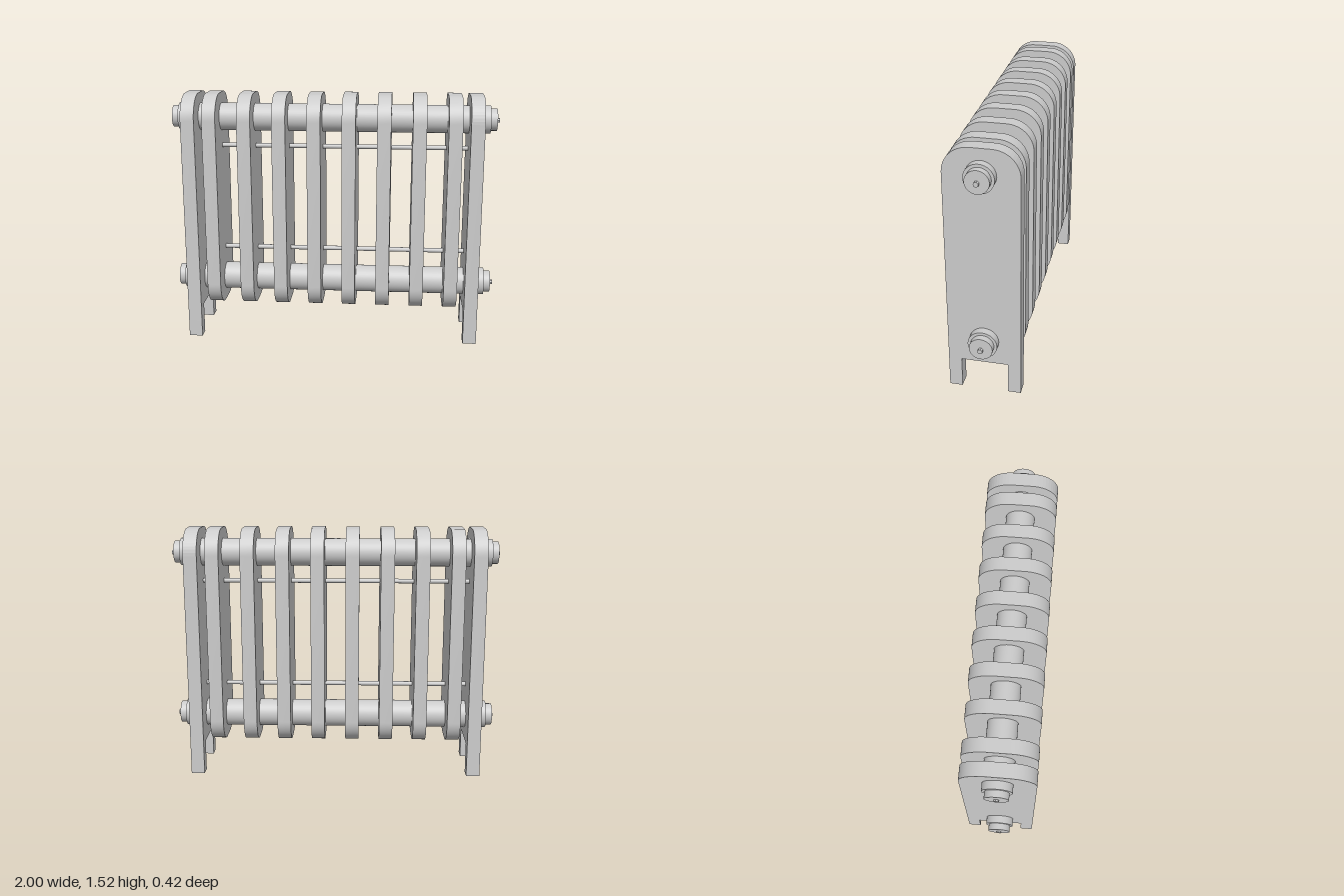
import * as THREE from 'three';
import { toCreasedNormals } from 'three/addons/utils/BufferGeometryUtils.js';

const TOP = 1.52, BOTTOM = 0.195, HALF = 0.21, R = 0.15, THICK = 0.082, MID = -0.004;

export function createModel() {
  const model = new THREE.Group();
  model.name = 'radiator';
  const smooth = new THREE.MeshStandardMaterial({ color: 0xcccccc });
  const flat = new THREE.MeshStandardMaterial({ color: 0xcccccc, flatShading: true });

  const add = (name, geometry, x, y = 0, material = smooth) => {
    const mesh = new THREE.Mesh(geometry, material);
    mesh.name = name;
    mesh.position.set(x, y, 0);
    model.add(mesh);
  };

  // Slab outline in (z, y), extruded along x and centred on its thickness
  const slab = (shape, curveSegments) => {
    const g = new THREE.ExtrudeGeometry(shape, { depth: THICK, bevelEnabled: false, curveSegments });
    g.translate(0, 0, -THICK / 2).rotateY(Math.PI / 2);
    return toCreasedNormals(g, 0.5);
  };
  const roundedTop = (s) => {
    s.lineTo(HALF, TOP - R);
    s.absarc(HALF - R, TOP - R, R, 0, Math.PI / 2);
    s.absarc(R - HALF, TOP - R, R, Math.PI / 2, Math.PI);
  };

  // Inner fins, rounded at all four corners
  const finShape = new THREE.Shape();
  finShape.moveTo(HALF, BOTTOM + R);
  roundedTop(finShape);
  finShape.lineTo(-HALF, BOTTOM + R);
  finShape.absarc(R - HALF, BOTTOM + R, R, Math.PI, Math.PI * 1.5);
  finShape.absarc(HALF - R, BOTTOM + R, R, Math.PI * 1.5, Math.PI * 2);
  const finGeometry = slab(finShape, 10);
  for (let i = 0; i < 8; i++) add(`fin${i + 1}`, finGeometry, MID + (i - 3.5) * 0.209);

  // End panels with two feet each
  const endShape = new THREE.Shape();
  endShape.moveTo(HALF, 0);
  roundedTop(endShape);
  [[-HALF, 0], [-0.135, 0], [-0.135, 0.19], [0.135, 0.19], [0.135, 0]].forEach(([z, y]) => endShape.lineTo(z, y));
  add('rightEndPanel', slab(endShape, 10), MID - 0.86);
  add('leftEndPanel', slab(endShape, 6), MID + 0.86, 0, flat);

  // Cylinder lying along x
  const bar = (radius, length, sides) =>
    new THREE.CylinderGeometry(radius, radius, length, sides).rotateZ(Math.PI / 2);

  // Main pipes with stepped end caps and small pins
  for (const [name, y] of [['upper', 1.37], ['lower', 0.34]]) {
    add(name + 'Pipe', bar(0.084, 1.894, 40), MID, y);
    add(name + 'EndCaps', bar(0.067, 1.972, 40), MID, y);
    add(name + 'Pins', bar(0.015, 2, 7), 0, y - 0.004, flat);
  }

  // Thin tie rods between the end panels
  add('upperTieRod', bar(0.014, 1.66, 16), MID, 1.193);
  add('lowerTieRod', bar(0.014, 1.66, 16), MID, 0.537);

  return model;
}
